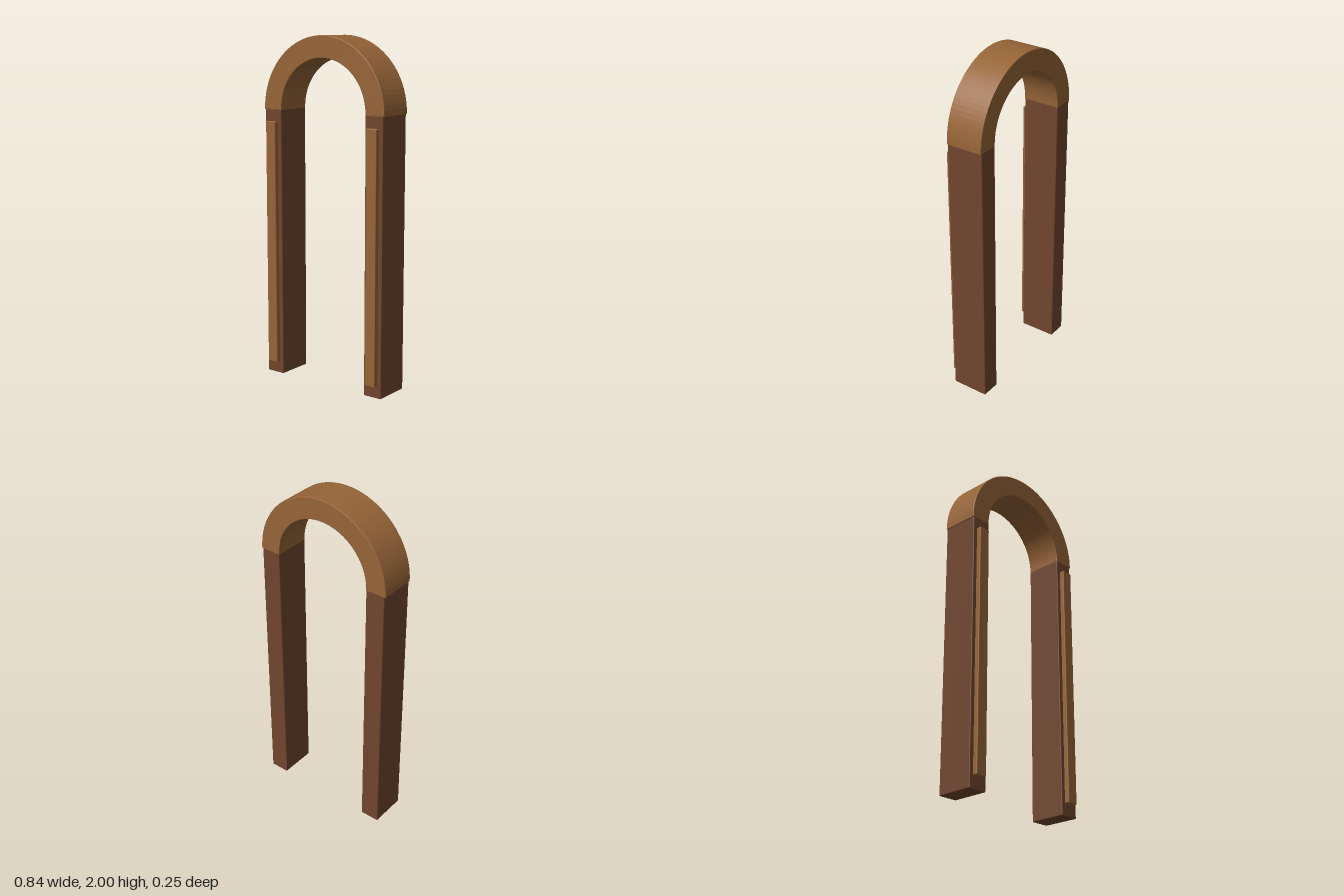
import * as THREE from 'three';
import { RoundedBoxGeometry } from 'three/addons/geometries/RoundedBoxGeometry.js';

export function createModel() {
  const model = new THREE.Group();
  model.name = 'archway';
  const darkWood = new THREE.MeshStandardMaterial({ name: 'dark wood', color: 0x70452d });
  const lightWood = new THREE.MeshStandardMaterial({ name: 'light wood', color: 0x966437 });

  const springY = 1.58; // height where the arch meets the posts
  const backZ = -0.124, frontZ = 0.096;
  const depth = frontZ - backZ, midZ = (frontZ + backZ) / 2;

  function box(name, w, h, d, x, y, z, material) {
    const mesh = new THREE.Mesh(new RoundedBoxGeometry(w, h, d, 2, 0.005), material);
    mesh.name = name;
    mesh.position.set(x, y, z);
    model.add(mesh);
  }

  // Posts with a raised panel on the front
  for (const [side, s] of [['left', 1], ['right', -1]]) {
    box(side + 'Post', 0.116, springY, depth, s * 0.355, springY / 2, midZ, darkWood);
    box(side + 'Panel', 0.068, 1.44, 0.04, s * 0.355, 0.79, 0.104, lightWood);
  }

  // Half-ring arch with a small bevel
  const bevel = 0.004;
  const ring = new THREE.Shape();
  ring.absarc(0, 0, 0.42 - bevel, 0, Math.PI, false);
  ring.absarc(0, 0, 0.296 + bevel, Math.PI, 0, true);
  ring.closePath();
  const archGeometry = new THREE.ExtrudeGeometry(ring, {
    depth: depth - 2 * bevel,
    curveSegments: 24,
    bevelSize: bevel,
    bevelThickness: bevel,
    bevelSegments: 2,
  });
  const arch = new THREE.Mesh(archGeometry, lightWood);
  arch.name = 'arch';
  arch.position.set(0, springY, backZ + bevel);
  model.add(arch);

  return model;
}
